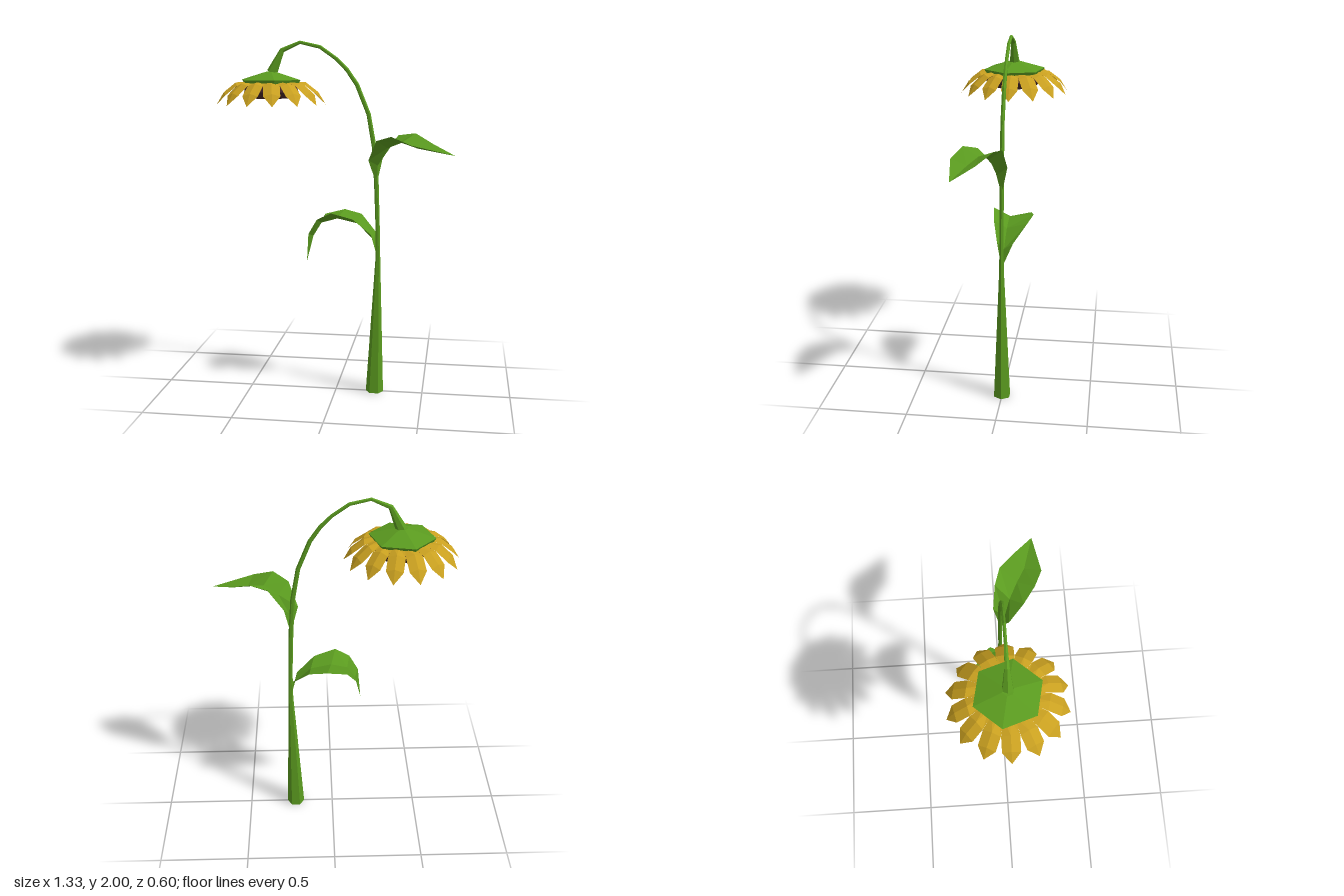
import * as THREE from 'three';

const paint = (color) => new THREE.MeshStandardMaterial({ color, flatShading: true, side: THREE.DoubleSide });
const green = paint(0x5a9a1f), yellow = paint(0xc9a020), brown = paint(0x452626);

// Skin a list of equally long rows of [x, y, z] points
function loft(rows, closed = false) {
  const n = rows[0].length, index = [];
  for (let i = 0; i < rows.length - 1; i++) {
    for (let j = 0; j < (closed ? n : n - 1); j++) {
      const k = (j + 1) % n;
      const a = i * n + j, b = i * n + k, c = b + n, d = a + n;
      index.push(a, b, c, a, c, d);
    }
  }
  const g = new THREE.BufferGeometry();
  g.setAttribute('position', new THREE.Float32BufferAttribute(rows.flat(2), 3));
  g.setIndex(index);
  g.computeVertexNormals();
  return g;
}

function add(parent, name, geometry, material) {
  const mesh = new THREE.Mesh(geometry, material);
  mesh.name = name;
  parent.add(mesh);
  return mesh;
}

// Six-sided tube along a bent path of [x, y, radius], closed at both ends
function stemGeometry(path) {
  const rows = path.map(([x, y, r], i) => {
    const p = path[Math.max(i - 1, 0)], q = path[Math.min(i + 1, path.length - 1)];
    const t = i === 0 ? new THREE.Vector2(0, 1) : new THREE.Vector2(q[0] - p[0], q[1] - p[1]).normalize();
    return Array.from({ length: 6 }, (_, j) => {
      const a = (j / 6) * Math.PI * 2, c = r * Math.cos(a);
      return [x - t.y * c, y + t.x * c, r * Math.sin(a)];
    });
  });
  const cap = ([x, y]) => Array(6).fill([x, y, 0]);
  return loft([cap(path[0]), ...rows, cap(path[path.length - 1])], true);
}

export function createModel() {
  const model = new THREE.Group();
  model.name = 'droopingFlower';

  // Stem, thick at the foot and flared again where it meets the flower
  add(model, 'stem', stemGeometry([
    [0.225, 0, 0.05], [0.238, 0.78, 0.014], [0.236, 0.95, 0.012], [0.226, 1.22, 0.013],
    [0.212, 1.42, 0.013], [0.18, 1.6, 0.012], [0.115, 1.76, 0.012], [0.06, 1.84, 0.011],
    [0, 1.9, 0.01], [-0.09, 1.963, 0.01], [-0.2, 1.988, 0.009], [-0.3, 1.945, 0.014],
    [-0.358, 1.825, 0.03],
  ]), green);

  // Leaves: each row is front edge, midrib, back edge
  const foot = [0.236, 0.79, 0], tip = [-0.165, 0.765, 0.02];
  add(model, 'lowerLeaf', loft([
    [foot, foot, foot],
    [[0.2, 0.93, 0.03], [0.21, 0.895, -0.01], [0.22, 0.93, -0.06]],
    [[0.1, 1.02, 0.06], [0.12, 0.985, -0.015], [0.13, 1.02, -0.13]],
    [[-0.02, 1.055, 0.077], [0.005, 1.01, -0.015], [0.03, 1.04, -0.155]],
    [[-0.1, 1.015, 0.067], [-0.085, 0.985, -0.01], [-0.08, 1.015, -0.13]],
    [[-0.15, 0.93, 0.055], [-0.13, 0.91, 0], [-0.135, 0.93, -0.075]],
    [tip, tip, tip],
  ]), green);

  const upperFoot = [0.228, 1.21, 0], upperTip = [0.66, 1.4, 0.2];
  add(model, 'upperLeaf', loft([
    [upperFoot, upperFoot, upperFoot],
    [[0.185, 1.35, 0.045], [0.235, 1.32, 0.025], [0.26, 1.37, -0.035]],
    [[0.235, 1.465, 0.125], [0.29, 1.42, 0.055], [0.345, 1.485, -0.02]],
    [[0.32, 1.495, 0.19], [0.37, 1.455, 0.1], [0.44, 1.5, 0.012]],
    [[0.43, 1.455, 0.235], [0.46, 1.43, 0.145], [0.54, 1.45, 0.09]],
    [upperTip, upperTip, upperTip],
  ]), green);

  // Flower head, hanging face down
  const flower = new THREE.Group();
  flower.name = 'flowerHead';
  flower.position.x = -0.365;
  model.add(flower);

  const hexLathe = (points) =>
    new THREE.LatheGeometry(points.map(([r, y]) => new THREE.Vector2(r, y)), 6);
  const calyx = add(flower, 'calyx', hexLathe([
    [0, 1.765], [0.165, 1.765], [0.177, 1.785], [0.03, 1.828], [0, 1.828],
  ]), green);
  const disc = add(flower, 'seedDisc', hexLathe([
    [0, 1.68], [0.13, 1.685], [0.165, 1.72], [0.15, 1.765], [0, 1.765],
  ]), brown);
  calyx.rotation.y = disc.rotation.y = THREE.MathUtils.degToRad(18);

  // Ring of ridged, down-curving petals
  const petalRow = (r, y, half, ridge) => [[r, y, half], [r, y + ridge, 0], [r, y, -half]];
  const petal = loft([
    petalRow(0.12, 1.775, 0.028, 0),
    petalRow(0.2, 1.755, 0.045, 0.014),
    petalRow(0.265, 1.705, 0.045, 0.014),
    petalRow(0.307, 1.652, 0, 0),
  ]);
  const count = 14;
  for (let i = 0; i < count; i++) {
    add(flower, 'petal', petal, yellow).rotation.y = (i / count) * Math.PI * 2;
  }
  return model;
}
